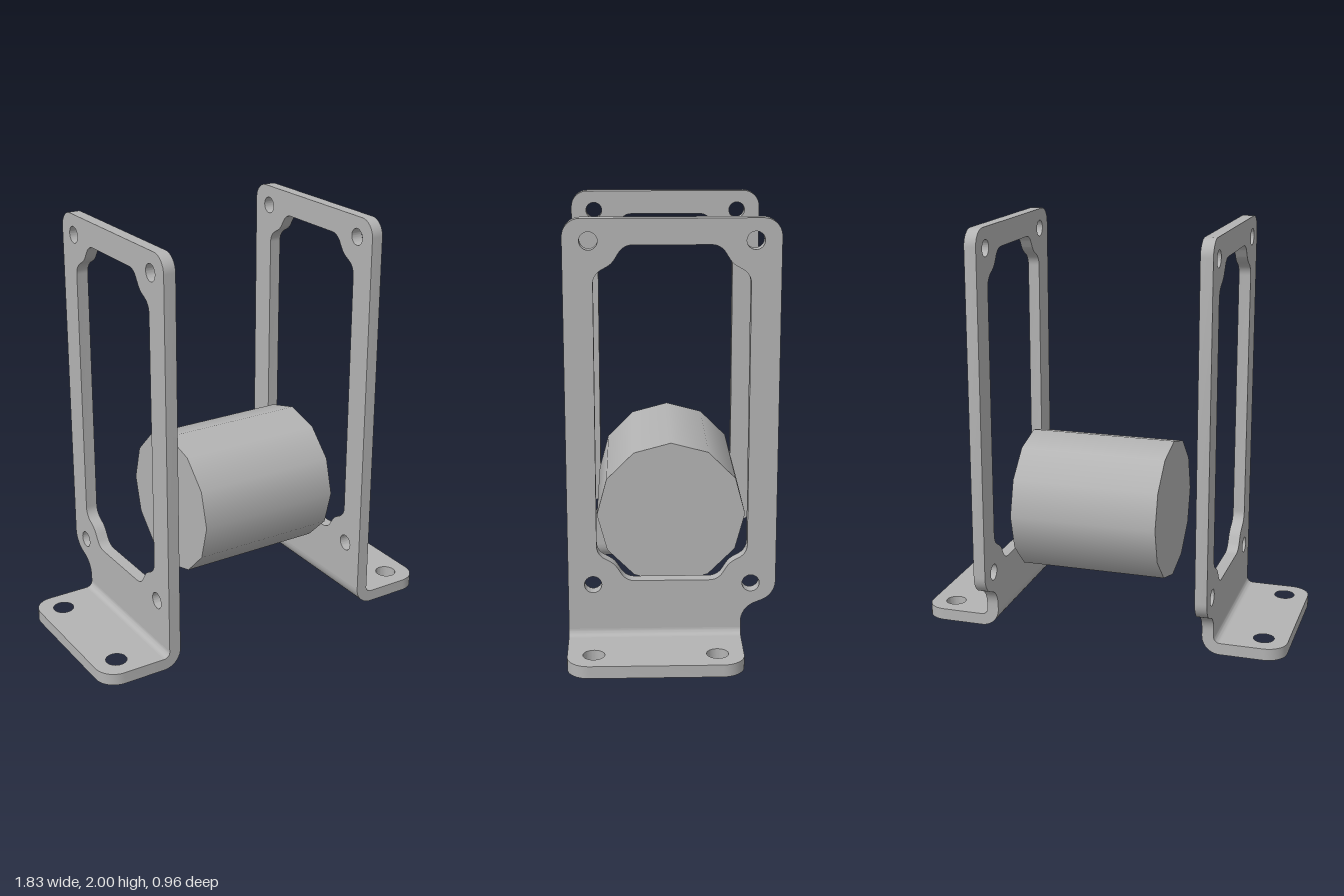
import * as THREE from 'three';
import { toCreasedNormals } from 'three/addons/utils/BufferGeometryUtils.js';

// Closed outline through corners [x, y, radius], each corner replaced by an arc
function outline(corners, steps = 8) {
  const pts = [], n = corners.length;
  corners.forEach(([x, y, r = 0], i) => {
    const p = new THREE.Vector2(x, y);
    if (!r) { pts.push(p); return; }
    const a = new THREE.Vector2(...corners[(i + n - 1) % n].slice(0, 2)).sub(p).normalize();
    const b = new THREE.Vector2(...corners[(i + 1) % n].slice(0, 2)).sub(p).normalize();
    const half = Math.acos(THREE.MathUtils.clamp(a.dot(b), -1, 1)) / 2;
    const c = a.clone().add(b).normalize().multiplyScalar(r / Math.sin(half)).add(p);
    const start = p.clone().addScaledVector(a, r / Math.tan(half)).sub(c);
    const sweep = (Math.PI - 2 * half) * (a.cross(b) < 0 ? 1 : -1);
    for (let k = 0; k <= steps; k++) {
      pts.push(start.clone().rotateAround(new THREE.Vector2(), sweep * k / steps).add(c));
    }
  });
  return pts;
}

function hole(x, y, r) {
  return new THREE.Path().absarc(x, y, r, 0, Math.PI * 2, true);
}

function extrude(points, holes, depth) {
  const shape = new THREE.Shape(points);
  shape.holes.push(...holes);
  return new THREE.ExtrudeGeometry(shape, { depth, bevelEnabled: false, curveSegments: 24 });
}

const IN = 0.52, T = 0.058, R = 0.088, FOOT_END = 0.917; // inner face, thickness, bend radius, foot end
const BACK = -0.32, FRONT = 0.48;
const MID = 1.105; // window centre height

function bracket(side, material) {
  const group = new THREE.Group();
  const add = (name, geometry) => {
    const mesh = new THREE.Mesh(toCreasedNormals(geometry, 0.5), material);
    mesh.name = name;
    group.add(mesh);
  };

  // Upright frame, drawn in (-z, y): notched at the lower back
  const frame = outline([
    [-FRONT, R], [-BACK, R], [-BACK, 0.185, 0.1], [0.48, 0.25, 0.1],
    [0.48, 2, 0.08], [-0.48, 2, 0.08],
  ]);
  // Window stepping inwards around the four screw holes
  const quarter = [[0.347, 0.65, 0.07], [0.265, 0.695, 0.1], [0.212, 0.779, 0.07]];
  const mirrored = (sx, sy) => quarter.map(([x, y, r]) => [x * sx, MID + y * sy, r]);
  const windowPath = new THREE.Path(outline([
    ...mirrored(1, 1), ...mirrored(-1, 1).reverse(),
    ...mirrored(-1, -1), ...mirrored(1, -1).reverse(),
  ]));
  const screws = [];
  for (const u of [-0.365, 0.365]) for (const y of [0.308, 1.902]) screws.push(hole(u, y, 0.04));
  const upright = extrude(frame, [windowPath, ...screws], T);
  upright.rotateY(Math.PI / 2).translate(side > 0 ? IN : -IN - T, 0, 0);
  add('uprightFrame', upright);

  // Quarter-round bend joining upright and foot
  const arc = [];
  const N = 10;
  for (const r of [R, R - T]) {
    for (let k = 0; k <= N; k++) {
      const a = Math.PI / 2 * (r === R ? k : N - k) / N;
      arc.push(new THREE.Vector2(side * (IN + R - r * Math.cos(a)), R - r * Math.sin(a)));
    }
  }
  add('bend', extrude(arc, [], FRONT - BACK).translate(0, 0, BACK));

  // Foot with two mounting holes, drawn in (x, -z)
  const foot = outline([
    [side * (IN + R), -FRONT], [side * FOOT_END, -FRONT, 0.1],
    [side * FOOT_END, -BACK, 0.1], [side * (IN + R), -BACK],
  ]);
  const bolts = [0.2, -0.36].map(v => hole(side * 0.798, v, 0.05));
  add('foot', extrude(foot, bolts, T).rotateX(-Math.PI / 2));
  return group;
}

export function createModel() {
  const model = new THREE.Group();
  const metal = new THREE.MeshStandardMaterial({ color: 0xb4b4b4 });
  metal.name = 'grey metal';

  // Mirrored pair of brackets
  for (const side of [1, -1]) {
    const b = bracket(side, metal);
    b.name = side > 0 ? 'leftBracket' : 'rightBracket';
    model.add(b);
  }

  // Twelve-sided drum lying along x, a vertex at the top
  const drum = new THREE.Mesh(
    new THREE.CylinderGeometry(0.347, 0.347, 0.726, 12).rotateZ(Math.PI / 2), metal);
  drum.name = 'drum';
  drum.position.set(0.071, 0.598, 0);
  model.add(drum);
  return model;
}
